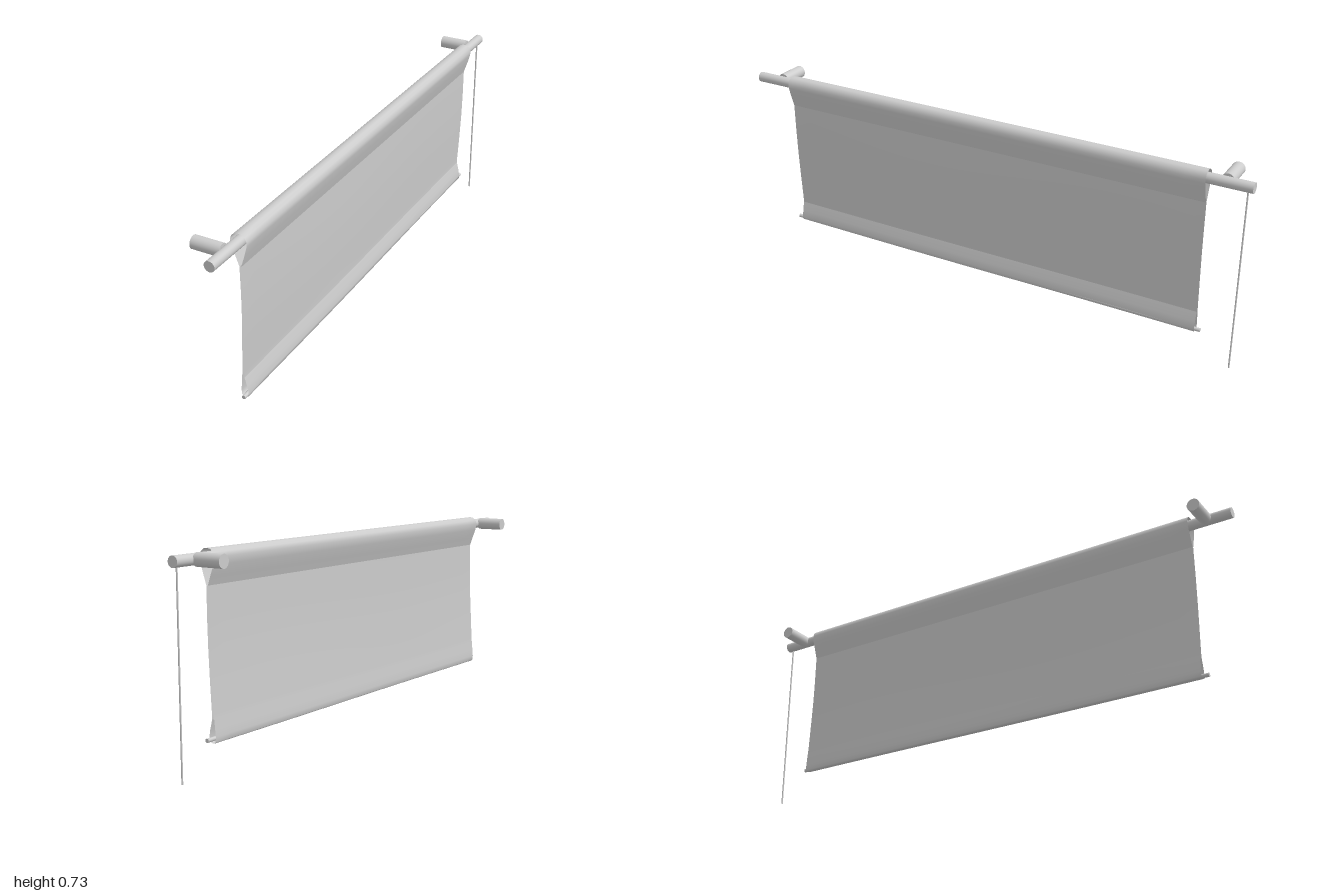
import * as THREE from 'three';

const material = new THREE.MeshStandardMaterial({ color: 0xcccccc });
const clothMaterial = new THREE.MeshStandardMaterial({ color: 0xcccccc, side: THREE.DoubleSide });

function rod(name, radius, length, axis, x, y, z, sides = 24) {
  const geometry = new THREE.CylinderGeometry(radius, radius, length, sides);
  if (axis === 'x') geometry.rotateZ(Math.PI / 2);
  if (axis === 'z') geometry.rotateX(Math.PI / 2);
  const mesh = new THREE.Mesh(geometry, material);
  mesh.name = name;
  mesh.position.set(x, y, z);
  return mesh;
}

// Open runs of the cloth section (x, y); separate runs keep the pinch creases sharp
const headLoop = [[0.048, 0.607], [0.062, 0.65], [0.072, 0.685], [0.073, 0.7], [0.067, 0.715],
  [0.056, 0.723], [0.043, 0.725], [0.029, 0.722], [0.018, 0.712], [0.013, 0.697], [0.018, 0.672], [0.031, 0.638], [0.042, 0.607]];
const backSheet = [[0.042, 0.607], [0.042, 0.5], [0.040, 0.4], [0.035, 0.3], [0.030, 0.2], [0.028, 0.18]];
const hemPocket = [[0.028, 0.18], [0.025, 0.15], [0.023, 0.125], [0.024, 0.108], [0.030, 0.103],
  [0.041, 0.104], [0.049, 0.107], [0.050, 0.12], [0.046, 0.145], [0.037, 0.18]];
const frontSheet = [[0.037, 0.18], [0.037, 0.2], [0.042, 0.3], [0.046, 0.4], [0.048, 0.5], [0.048, 0.607]];

// Slight sway of the fabric along its width, growing towards the hem
function sway(y, z) {
  const low = THREE.MathUtils.clamp((0.6 - y) / 0.5, 0, 1);
  return 0.0015 * low * Math.sin(z * 4 + 0.6);
}

function clothStrip(name, section) {
  const steps = 24, n = section.length, positions = [], index = [];
  for (let i = 0; i <= steps; i++) {
    const z = -0.845 + 1.69 * i / steps;
    for (const [x, y] of section) positions.push(x + sway(y, z), y, z);
  }
  for (let i = 0; i < steps; i++) {
    for (let j = 0; j < n - 1; j++) {
      const a = i * n + j, b = a + 1, c = a + n, d = c + 1;
      index.push(a, b, c, b, d, c);
    }
  }
  const geometry = new THREE.BufferGeometry();
  geometry.setAttribute('position', new THREE.Float32BufferAttribute(positions, 3));
  geometry.setIndex(index);
  geometry.computeVertexNormals();
  const mesh = new THREE.Mesh(geometry, clothMaterial);
  mesh.name = name;
  return mesh;
}

export function createModel() {
  const model = new THREE.Group();
  model.name = 'windowBlind';

  // Top rail carried by two wall brackets
  model.add(rod('topRail', 0.019, 2, 'z', 0.043, 0.695, 0, 32));
  for (const side of [-1, 1]) {
    model.add(rod('wallBracket', 0.023, 0.105, 'x', -0.0245, 0.695, side * 0.905, 32));
  }

  // Pull cord at the rear end
  model.add(rod('pullCord', 0.003, 0.69, 'y', 0.045, 0.345, -0.98, 10));

  // Fabric folded over the rail and around the weight bar
  const fabric = new THREE.Group();
  fabric.name = 'fabric';
  fabric.add(
    clothStrip('headLoop', headLoop),
    clothStrip('backSheet', backSheet),
    clothStrip('hemPocket', hemPocket),
    clothStrip('frontSheet', frontSheet),
  );
  model.add(fabric);
  model.add(rod('weightBar', 0.007, 1.73, 'z', 0.042, 0.115, 0, 16));

  return model;
}
